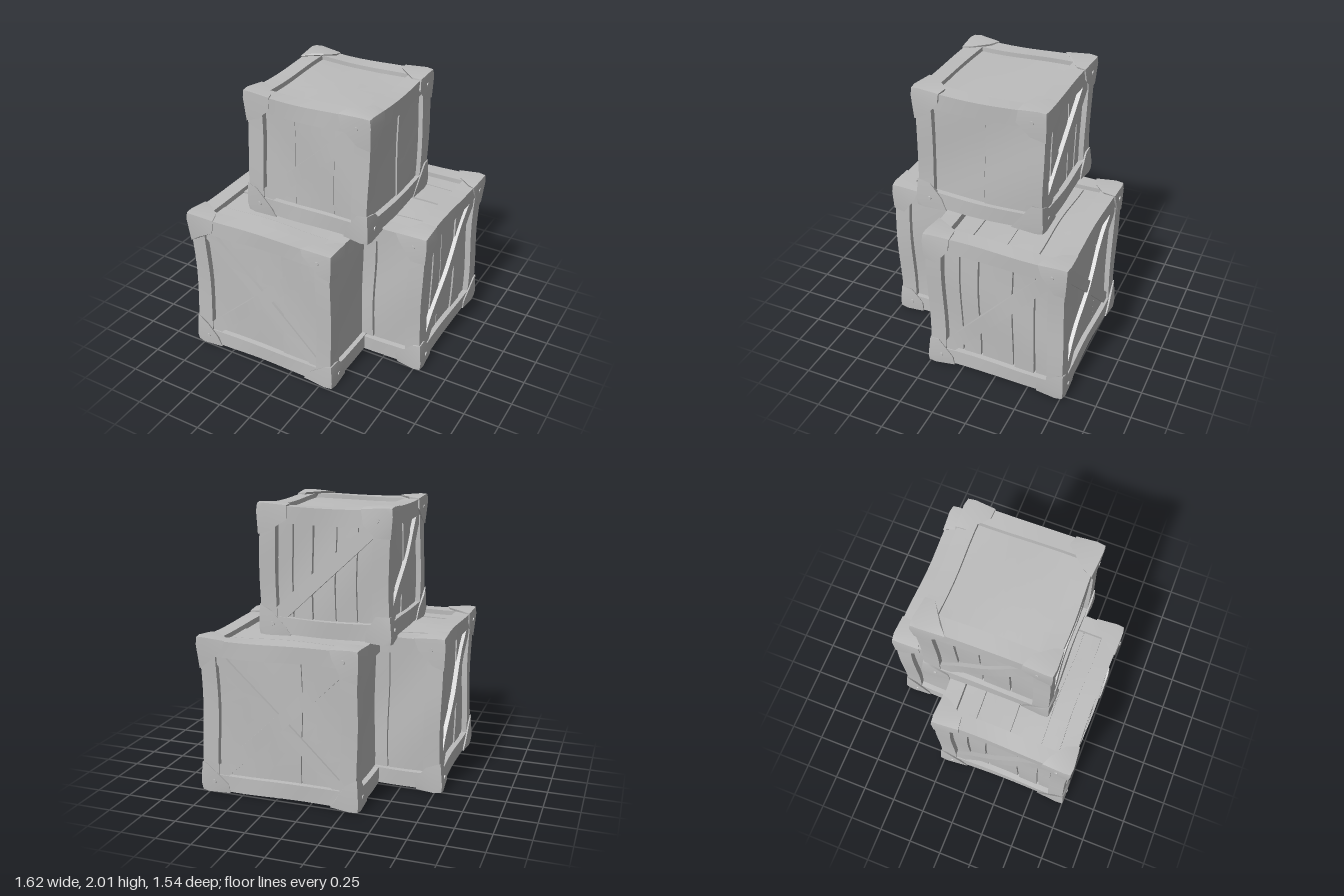
import * as THREE from 'three';
import { toCreasedNormals } from 'three/addons/utils/BufferGeometryUtils.js';
import { ConvexGeometry } from 'three/addons/geometries/ConvexGeometry.js';

const wood = new THREE.MeshStandardMaterial({ color: 0xbdbdbd });
wood.name = 'plain grey wood';

const BEAM = 0.115;    // frame timber thickness
const RECESS = 0.03;   // how far planks sit behind the frame
const CORE = 0.06;     // depth of the core behind the plank gaps

// Small seeded generator
function seeded(seed) {
  let s = seed;
  return () => (s = (s * 16807) % 2147483647) / 2147483647;
}

// Gentle hand-hewn wobble shared by every part of a crate
function warp(geo, phase) {
  const p = geo.attributes.position;
  for (let i = 0; i < p.count; i++) {
    const x = p.getX(i), y = p.getY(i), z = p.getZ(i);
    p.setXYZ(i,
      x + 0.006 * Math.sin(7 * y + 5 * z + phase),
      y + 0.006 * Math.sin(6 * x - 7 * z + phase * 2),
      z + 0.006 * Math.sin(8 * x + 6 * y + phase * 3));
  }
  return toCreasedNormals(geo, 0.6);
}

function makeCrate(name, w, h, d, faces, seed) {
  const crate = new THREE.Group();
  crate.name = name;
  const rand = seeded(seed);
  const add = (geo, part, matrix) => {
    if (matrix) geo.applyMatrix4(matrix);
    const mesh = new THREE.Mesh(warp(geo, seed), wood);
    mesh.name = part;
    crate.add(mesh);
  };

  // Hidden core that closes the gaps between planks
  add(new THREE.BoxGeometry(w - 2 * CORE, h - 2 * CORE, d - 2 * CORE, 6, 6, 6), 'core');

  // Twelve frame beams
  const size = [w, h, d];
  for (let axis = 0; axis < 3; axis++) {
    for (const a of [-1, 1]) for (const b of [-1, 1]) {
      const dims = [BEAM, BEAM, BEAM], seg = [1, 1, 1], pos = [0, 0, 0];
      const p = (axis + 1) % 3, q = (axis + 2) % 3;
      dims[axis] = size[axis] - 0.04;
      seg[axis] = 10;
      pos[p] = a * (size[p] - BEAM) / 2;
      pos[q] = b * (size[q] - BEAM) / 2;
      add(new THREE.BoxGeometry(...dims, ...seg).translate(...pos), 'frameBeam');
    }
  }

  // Eight chunky corner caps with uneven gussets
  for (const sx of [-1, 1]) for (const sy of [-1, 1]) for (const sz of [-1, 1]) {
    const pts = [];
    const point = (x, y, z) => pts.push(new THREE.Vector3(
      sx * (w / 2 - x), sy * (h / 2 - y), sz * (d / 2 - z)));
    const out = () => -0.011 - rand() * 0.007;
    const reach = () => 0.17 + rand() * 0.05;
    const tip = () => 0.04 + rand() * 0.06;
    point(-0.012, -0.012, -0.012);
    // corner ridges along the three edges
    point(0.04, -0.016, -0.018);
    point(-0.018, 0.04, -0.016);
    point(-0.016, -0.018, 0.04);
    point(reach(), -0.007, -0.007);
    point(-0.007, reach(), -0.007);
    point(-0.007, -0.007, reach());
    // gusset outlines on the three faces
    point(out(), reach() - 0.02, tip()); point(out(), tip(), reach() - 0.02);
    point(reach() - 0.02, out(), tip()); point(tip(), out(), reach() - 0.02);
    point(reach() - 0.02, tip(), out()); point(tip(), reach() - 0.02, out());
    add(new ConvexGeometry(pts), 'cornerCap');
  }

  // Planks, braces and nails, laid out on each face in turn
  const H = Math.PI / 2;
  const sides = {
    front: [w, h, d, 0, 0], back: [w, h, d, 0, 2 * H],
    right: [d, h, w, 0, H], left: [d, h, w, 0, -H],
    top: [w, d, h, -H, 0], bottom: [w, d, h, H, 0],
  };
  for (const [side, [fw, fh, depth, rx, ry]] of Object.entries(sides)) {
    const turn = new THREE.Matrix4().makeRotationFromEuler(new THREE.Euler(rx, ry, 0));
    const { cuts = [], rows = false, braces = [], gap = 0.008 } = faces[side] || {};
    const pw = fw - 2 * BEAM, ph = fh - 2 * BEAM;
    const edges = [0, ...cuts, 1];
    for (let i = 0; i < edges.length - 1; i++) {
      const span = rows ? ph : pw;
      const len = (edges[i + 1] - edges[i]) * span - gap;
      const mid = ((edges[i] + edges[i + 1]) / 2 - 0.5) * span;
      const z = depth / 2 - RECESS - 0.025 - (cuts.length ? rand() * 0.012 : 0);
      const plank = rows
        ? new THREE.BoxGeometry(pw + 0.02, len, 0.05, 8, 3, 1).translate(0, -mid, z)
        : new THREE.BoxGeometry(len, ph + 0.02, 0.05, 3, 8, 1).translate(mid, 0, z);
      add(plank, side + 'Plank', turn);
    }
    // diagonal braces: the first lies over the second
    braces.forEach((dir, i) => {
      const brace = new THREE.BoxGeometry(Math.hypot(pw, ph) + 0.03, i ? 0.085 : 0.1, 0.04, 10, 1, 1)
        .rotateZ(dir * Math.atan2(ph, pw))
        .translate(0, 0, depth / 2 - 0.028 - i * 0.01);
      add(brace, side + 'Brace', turn);
    });
    // nail heads on two opposite caps of the upright faces
    if (rx === 0) for (const s of [-1, 1]) {
      const nail = new THREE.CylinderGeometry(0.014, 0.018, 0.02, 7).rotateX(H)
        .translate(s * (fw / 2 - 0.085), s * (fh / 2 - 0.065), depth / 2 + 0.012);
      add(nail, 'nailHead', turn);
    }
  }
  return crate;
}

export function createModel() {
  const model = new THREE.Group();
  model.name = 'crateStack';

  const lowerFaces = {
    front: { cuts: [0.68], braces: [1, -1], gap: 0.005 },
    left: { cuts: [0.16, 0.34, 0.66, 0.87], braces: [1], gap: 0.014 },
    back: { cuts: [0.15, 0.42, 0.7], gap: 0.01 },
    right: { cuts: [0.55], gap: 0.004 },
    top: { cuts: [0.2, 0.53, 0.83], rows: true },
    bottom: { cuts: [0.3, 0.6], rows: true },
  };
  // Two lower crates, the second turned half round
  const frontCrate = makeCrate('frontCrate', 1.12, 1.085, 1.0, lowerFaces, 5);
  frontCrate.position.set(-0.222, 0.562, 0.232);
  const backCrate = makeCrate('backCrate', 1.12, 1.085, 1.0, lowerFaces, 11);
  backCrate.rotation.y = Math.PI;
  backCrate.position.set(0.222, 0.562, -0.255);

  // Smaller crate on top
  const topCrate = makeCrate('topCrate', 0.915, 0.875, 0.91, {
    front: { cuts: [0.34, 0.78], braces: [1], gap: 0.005 },
    back: { cuts: [0.17, 0.38, 0.62, 0.84], braces: [1], gap: 0.016 },
    left: { cuts: [0.2, 0.45, 0.75], braces: [1], gap: 0.012 },
    right: { cuts: [0.54], gap: 0.005 },
    bottom: { cuts: [0.35, 0.7], rows: true },
  }, 23);
  topCrate.position.set(0, 1.543, -0.005);

  model.add(frontCrate, backCrate, topCrate);
  return model;
}
